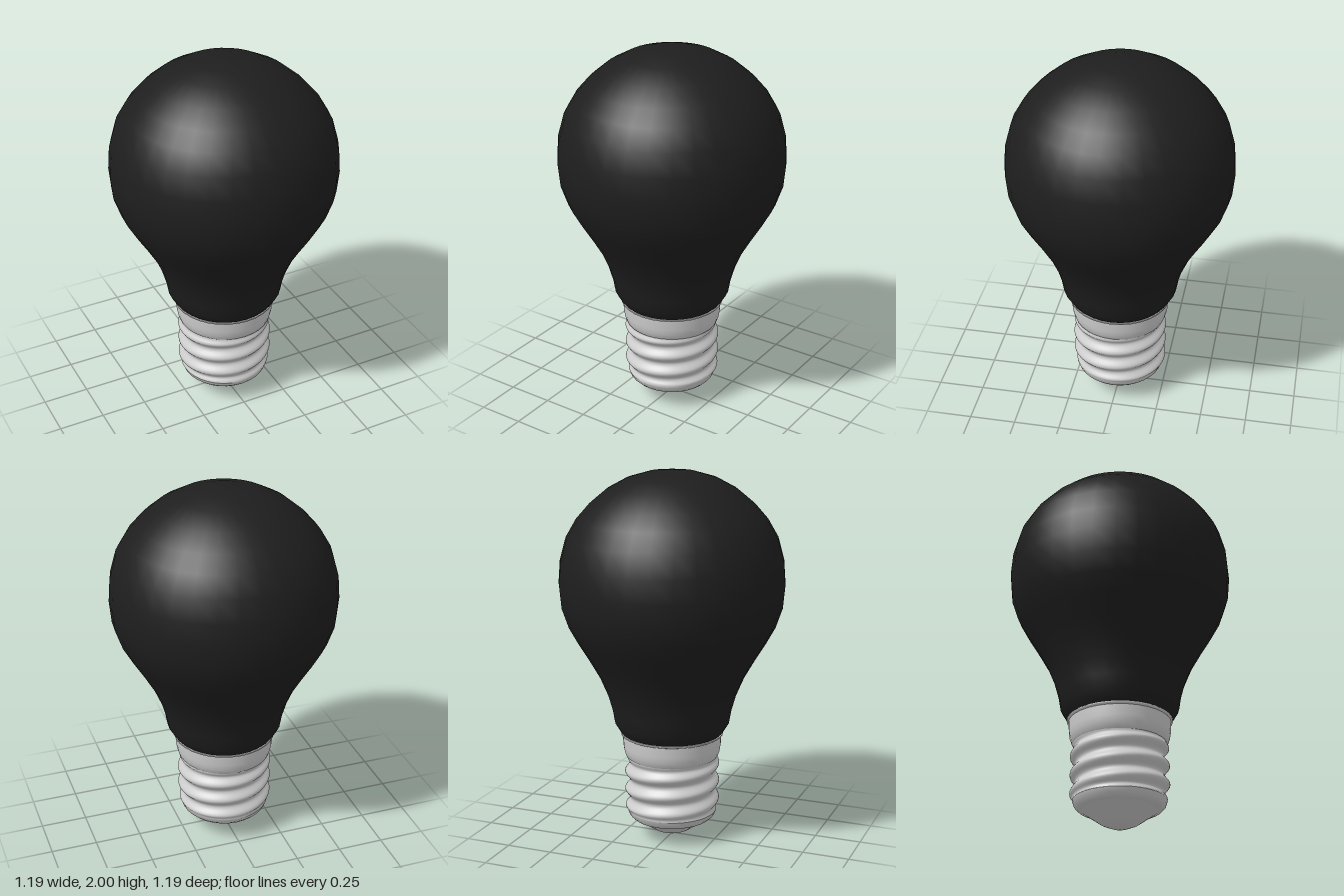
import * as THREE from 'three';
import { mergeVertices } from 'three/addons/utils/BufferGeometryUtils.js';

const SIDES = 32;

// Lathe from [radius, height] pairs listed bottom to top
function lathe(name, pairs, material) {
  const points = pairs.map(([r, y]) => new THREE.Vector2(r, y));
  const mesh = new THREE.Mesh(new THREE.LatheGeometry(points, SIDES), material);
  mesh.name = name;
  return mesh;
}

// Screw sleeve: a lathed tube whose radius follows a right-handed helix
function threadedSleeve(material) {
  const bottom = 0.15, top = 0.46, rows = 44, pitch = 0.1;
  const points = [];
  for (let i = 0; i <= rows; i++) {
    points.push(new THREE.Vector2(0.243, bottom + (top - bottom) * i / rows));
  }
  let geometry = new THREE.LatheGeometry(points, SIDES * 2);
  const pos = geometry.attributes.position;
  for (let i = 0; i < pos.count; i++) {
    const x = pos.getX(i), y = pos.getY(i), z = pos.getZ(i);
    const turn = Math.atan2(x, z) / (Math.PI * 2);
    const wave = Math.cos(Math.PI * 2 * ((y - 0.335) / pitch - turn));
    // the thread fades out at both ends
    const fade = THREE.MathUtils.smoothstep(y, bottom, 0.18) * (1 - THREE.MathUtils.smoothstep(y, 0.42, top));
    const scale = (0.243 + 0.014 * wave * fade) / 0.243;
    pos.setXYZ(i, x * scale, y, z * scale);
  }
  geometry.deleteAttribute('uv');
  geometry.deleteAttribute('normal');
  geometry = mergeVertices(geometry, 1e-5);
  geometry.computeVertexNormals();
  const mesh = new THREE.Mesh(geometry, material);
  mesh.name = 'threadedSleeve';
  return mesh;
}

export function createModel() {
  const glass = new THREE.MeshStandardMaterial({ color: 0x1e1e1e });
  glass.name = 'black glass';
  const metal = new THREE.MeshStandardMaterial({ color: 0xcccccc });
  metal.name = 'silver metal';

  const model = new THREE.Group();
  model.name = 'lightBulb';

  // Pear-shaped bulb
  model.add(lathe('bulb', [
    [0.265, 0.585], [0.28, 0.6], [0.31, 0.65], [0.322, 0.72], [0.346, 0.805],
    [0.388, 0.905], [0.442, 1.0], [0.5, 1.095], [0.55, 1.185], [0.586, 1.29],
    [0.597, 1.41], [0.588, 1.53], [0.555, 1.65], [0.5, 1.745], [0.43, 1.825],
    [0.34, 1.9], [0.235, 1.957], [0.12, 1.99], [0, 2.0],
  ], glass));

  // Metal base
  const base = new THREE.Group();
  base.name = 'base';
  base.add(lathe('collar', [
    [0.238, 0.45], [0.25, 0.46], [0.26, 0.49], [0.265, 0.52], [0.267, 0.575],
  ], metal));
  base.add(lathe('collarLip', [[0.267, 0.575], [0.276, 0.58], [0.276, 0.588]], metal));
  base.add(lathe('collarTop', [[0.276, 0.588], [0.2, 0.588]], metal));
  base.add(threadedSleeve(metal));
  base.add(lathe('lowerRim', [[0.195, 0.1], [0.215, 0.106], [0.234, 0.125], [0.243, 0.15]], metal));
  base.add(lathe('contactCone', [[0.06, 0.018], [0.1, 0.035], [0.15, 0.07], [0.195, 0.1]], metal));
  base.add(lathe('contactTip', [[0, 0], [0.025, 0.005], [0.05, 0.014], [0.06, 0.018]], metal));
  model.add(base);

  return model;
}
